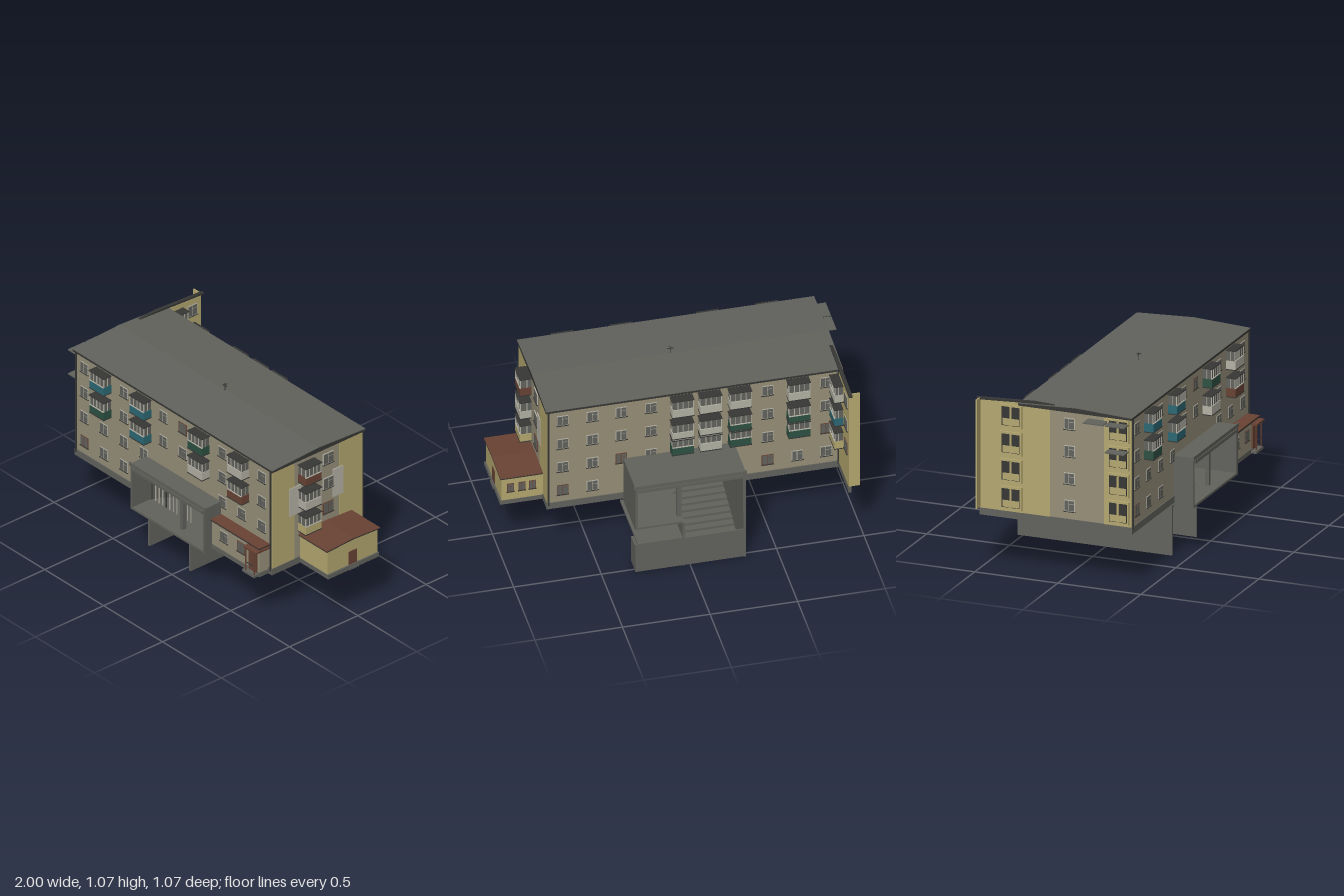
import * as THREE from 'three';

const mat = (name, color, side = THREE.FrontSide) => {
  const m = new THREE.MeshStandardMaterial({ color, side });
  m.name = name;
  return m;
};

export function createModel() {
  const root = new THREE.Group();
  root.name = 'apartmentBlock';
  const M = {
    yellow: mat('yellowPlaster', 0xb5a870),
    khaki: mat('khakiBrick', 0x979079),
    grey: mat('greyConcrete', 0x62625d),
    dark: mat('charcoalTrim', 0x373735),
    light: mat('lightPanel', 0xb5b3a6),
    brown: mat('redBrown', 0x6a4335),
    teal: mat('tealPanel', 0x2c6874),
    green: mat('greenPanel', 0x2d5143),
  };

  const group = (name, parent = root) => {
    const g = new THREE.Group();
    g.name = name;
    parent.add(g);
    return g;
  };
  // Box given by its minimum and maximum corners
  const box = (name, m, x0, x1, y0, y1, z0, z1, parent = root) => {
    const b = new THREE.Mesh(new THREE.BoxGeometry(x1 - x0, y1 - y0, z1 - z0), M[m]);
    b.position.set((x0 + x1) / 2, (y0 + y1) / 2, (z0 + z1) / 2);
    b.name = name;
    parent.add(b);
    return b;
  };
  // Gable slab: ridge along x, given eave and ridge heights
  const gable = (name, m, x0, x1, z0, z1, yEave, yRidge, t, solid = false) => {
    const zm = (z0 + z1) / 2, s = new THREE.Shape();
    s.moveTo(-z0, yEave - t);
    if (!solid) s.lineTo(-zm, yRidge - t);
    s.lineTo(-z1, yEave - t);
    s.lineTo(-z1, yEave);
    s.lineTo(-zm, yRidge);
    s.lineTo(-z0, yEave);
    const g = new THREE.ExtrudeGeometry(s, { depth: x1 - x0, bevelEnabled: false });
    g.rotateY(Math.PI / 2).translate(x0, 0, 0);
    const r = new THREE.Mesh(g, M[m]);
    r.name = name;
    root.add(r);
  };
  // Wall frame: local x runs along the wall, local z points outward
  const wall = (name, x, z, turn) => {
    const g = group(name);
    g.position.set(x, 0, z);
    g.rotation.y = turn;
    return g;
  };

  // Casement window with one wide pane and a split pane
  const windowAt = (w, u, y, trim = 'light', width = 0.066, h = 0.066) => {
    const g = group('window', w), a = u - width / 2, b = u + width / 2, c = y - h / 2, d = y + h / 2;
    const e = 0.004, mid = u - width * 0.04;
    box('windowFrame', trim, a, b, c, d, -0.002, 0.003, g);
    box('windowPane', 'grey', a + e, mid - 0.002, c + e, d - e, 0, 0.005, g);
    box('windowPane', 'grey', mid + 0.002, b - e, c + e, y + h * 0.14, 0, 0.005, g);
    box('windowPane', 'grey', mid + 0.002, b - e, y + h * 0.2, d - e, 0, 0.005, g);
    box('windowSill', 'dark', a - 0.003, b + 0.003, c - 0.003, c, -0.002, 0.008, g);
  };
  // Glazed balcony with coloured parapet
  const balcony = (w, u, y, colour, width = 0.122, d = 0.056) => {
    const g = group('balcony', w), a = u - width / 2, b = u + width / 2;
    box('balconyFloor', 'dark', a - 0.002, b + 0.002, y - 0.058, y - 0.053, 0, d + 0.002, g);
    box('balconyParapet', colour, a, b, y - 0.053, y - 0.004, 0, d, g);
    box('balconyGlass', 'grey', a + 0.003, b - 0.003, y - 0.004, y + 0.053, 0, d - 0.004, g);
    for (let i = 0; i <= 4; i++) {
      const x = a + 0.002 + (i * (width - 0.004)) / 4;
      box('balconyMullion', 'light', x - 0.002, x + 0.002, y - 0.004, y + 0.053, d - 0.006, d, g);
    }
    for (const x of [a + 0.001, b - 0.004])
      box('balconySidePost', 'light', x, x + 0.003, y - 0.004, y + 0.053, 0.024, 0.028, g);
    box('balconyRail', 'light', a, b, y - 0.006, y - 0.002, d - 0.004, d + 0.002, g);
    box('balconyRoof', 'dark', a - 0.003, b + 0.003, y + 0.053, y + 0.058, 0, d + 0.003, g);
  };

  // Main block, left open where the passage runs through
  box('westBlock', 'khaki', -0.918, -0.315, 0.32, 1.0, -0.25, 0.41);
  box('eastBlock', 'khaki', 0.31, 0.745, 0.32, 1.0, -0.25, 0.41);
  box('middleBlock', 'khaki', -0.315, 0.31, 0.585, 1.0, -0.25, 0.41);
  box('westPlinth', 'grey', -0.926, -0.315, 0.315, 0.355, -0.256, 0.416);
  box('eastPlinth', 'grey', 0.31, 0.752, 0.315, 0.355, -0.256, 0.416);
  for (const [z0, z1] of [[-0.251, -0.08], [0.247, 0.411]]) {
    box('eastYellowWall', 'yellow', 0.742, 0.75, 0.355, 1.0, z0, z1);
    box('westYellowWall', 'yellow', -0.924, -0.916, 0.355, 1.0, z0, z1);
  }
  gable('roofEdge', 'dark', -0.938, 0.758, -0.265, 0.42, 0.998, 1.014, 0.012, true);
  gable('roofCover', 'grey', -0.938, 0.758, -0.265, 0.42, 1.001, 1.018, 0.004);
  for (const x of [-0.912, 0.742]) for (const z of [-0.257, 0.417])
    box('downpipe', 'dark', x - 0.004, x + 0.004, 0.34, 0.985, z - 0.004, z + 0.004);

  // Roof aerial
  box('aerialMast', 'dark', -0.037, -0.034, 1.01, 1.065, 0.079, 0.082);
  box('aerialBar', 'dark', -0.037, -0.034, 1.052, 1.055, 0.063, 0.098);
  box('aerialBar', 'dark', -0.055, -0.016, 1.048, 1.051, 0.079, 0.082);

  const rows = [0.915, 0.755, 0.595, 0.435];
  // Front windows and balconies
  const front = wall('frontDetails', 0, 0.41, 0);
  const frontX = [-0.845, -0.68, -0.51, -0.34, -0.175, -0.01, 0.155, 0.325, 0.49, 0.66];
  const frontBalconies = { 1: ['teal', 'green'], 3: ['teal', 'teal'], 6: ['green', 'light'], 8: ['light', 'brown'] };
  frontX.forEach((x, i) => rows.forEach((y, r) => {
    if (r === 3 && i > 2) return;
    if (r === 2 && i > 3 && i < 7) return;
    if (frontBalconies[i] && r < 2) balcony(front, x, y, frontBalconies[i][r]);
    else windowAt(front, x, y, (i * 3 + r * 5) % 7 === 1 ? 'brown' : 'light');
  }));

  // Back windows and balconies (local x is mirrored)
  const back = wall('backDetails', 0, -0.25, Math.PI);
  const backX = [0.66, 0.49, 0.325, 0.155, -0.015, -0.175, -0.345, -0.51, -0.68, -0.845];
  const backBalconies = {
    4: ['light', 'light', 'green'], 5: ['light', 'light', 'light'],
    6: ['light', 'green', 'green'], 8: ['light', 'green', 'green'],
  };
  backX.forEach((x, i) => rows.forEach((y, r) => {
    if (r === 3 && x > -0.4 && x < 0.36) return;
    if (backBalconies[i] && r < 3) balcony(back, -x, r === 2 ? 0.655 : y, backBalconies[i][r]);
    else windowAt(back, -x, y, (i * 5 + r * 3) % 7 === 2 ? 'brown' : 'light');
  }));

  // East end details
  const east = wall('eastDetails', 0.75, 0, Math.PI / 2);
  ['brown', 'light', 'yellow'].forEach((c, r) => {
    balcony(east, -0.165, [0.903, 0.742, 0.583][r], c, 0.115, 0.066);
    windowAt(east, -0.002, rows[r], r === 2 ? 'brown' : 'light', 0.076, 0.07);
  });
  box('wallPanel', 'light', -0.29, -0.2, 0.645, 0.825, -0.002, 0.004, east);
  box('wallPanel', 'light', 0.03, 0.107, 0.645, 0.825, -0.002, 0.004, east);

  // West gable screen wall reaching past the back
  box('screenWall', 'yellow', -0.926, -0.914, 0.32, 0.995, -0.5, -0.24);
  box('screenPlinth', 'grey', -0.928, -0.912, 0.315, 0.355, -0.502, -0.25);
  box('screenFin', 'yellow', -0.977, -0.92, 0.36, 1.0, -0.505, -0.497);
  gable('screenCoping', 'dark', -0.93, -0.91, -0.52, 0.17, 1.0, 1.018, 0.012);
  const screenIn = wall('screenInnerDetails', -0.914, 0, Math.PI / 2);
  ['light', 'teal', 'yellow'].forEach((c, r) => {
    balcony(screenIn, 0.31, [0.903, 0.742, 0.583][r], c, 0.115, 0.05);
    windowAt(screenIn, 0.437, rows[r], r === 2 ? 'brown' : 'light', 0.07, 0.07);
  });
  const west = wall('westDetails', -0.926, 0, -Math.PI / 2);
  for (const y of rows) {
    for (const u of [-0.31, 0.335]) {
      box('bayFrame', 'yellow', u - 0.065, u + 0.065, y - 0.068, y + 0.068, -0.004, 0.01, west);
      box('bayOpening', 'dark', u - 0.054, u + 0.054, y - 0.055, y + 0.055, 0, 0.012, west);
      box('bayPost', 'yellow', u - 0.006, u + 0.006, y - 0.055, y + 0.055, 0, 0.014, west);
      box('bayParapet', 'yellow', u - 0.05, u + 0.05, y - 0.052, y - 0.012, 0, 0.013, west);
    }
    windowAt(west, 0.04, y);
  }
  for (const [z, y] of [[0.34, 0.957], [0.34, 0.8], [0.21, 0.957]])
    box('westCanopy', 'grey', -1, -0.92, y - 0.003, y + 0.003, z - 0.06, z + 0.06);

  // East annex with shallow gable roof
  box('annexWalls', 'yellow', 0.75, 0.985, 0.345, 0.5, -0.157, 0.21);
  box('annexPlinth', 'grey', 0.75, 0.995, 0.32, 0.347, -0.16, 0.213);
  gable('annexGable', 'yellow', 0.75, 0.985, -0.157, 0.21, 0.5, 0.51, 0.005, true);
  gable('annexRoofEdge', 'dark', 0.752, 0.995, -0.168, 0.222, 0.503, 0.513, 0.006);
  gable('annexRoof', 'brown', 0.752, 0.995, -0.168, 0.222, 0.506, 0.516, 0.003);
  box('annexDoor', 'brown', 0.98, 0.989, 0.33, 0.432, -0.002, 0.055);
  box('annexStep', 'grey', 0.98, 1.0, 0.32, 0.333, -0.008, 0.06);
  const annexBack = wall('annexBackDetails', 0, -0.157, Math.PI);
  for (const x of [0.81, 0.87, 0.935]) windowAt(annexBack, -x, 0.43, 'brown', 0.04, 0.055);

  // Front shop with porch
  box('shopWalls', 'khaki', 0.315, 0.72, 0.34, 0.498, 0.4, 0.478);
  box('shopPlinth', 'grey', 0.315, 0.722, 0.315, 0.342, 0.4, 0.482);
  box('shopRoofEdge', 'dark', 0.315, 0.728, 0.496, 0.503, 0.4, 0.488);
  box('shopRoof', 'brown', 0.315, 0.728, 0.503, 0.508, 0.4, 0.488);
  const shop = wall('shopDetails', 0, 0.478, 0);
  for (const x of [0.42, 0.565]) windowAt(shop, x, 0.435, x > 0.5 ? 'brown' : 'light');
  box('shopDoor', 'brown', 0.635, 0.7, 0.335, 0.468, 0.47, 0.486);
  box('porchCanopy', 'brown', 0.625, 0.73, 0.478, 0.49, 0.41, 0.515);
  for (const x of [0.633, 0.702]) box('porchPost', 'brown', x, x + 0.006, 0.33, 0.48, 0.503, 0.509);
  box('porchStep', 'grey', 0.615, 0.715, 0.318, 0.334, 0.478, 0.515);
  box('porchRail', 'dark', 0.633, 0.708, 0.385, 0.389, 0.504, 0.508);

  // Concrete passage running through the building
  box('passageRoof', 'grey', -0.318, 0.313, 0.568, 0.588, -0.53, 0.53);
  for (const x of [-0.318, 0.298]) box('passageSide', 'grey', x, x + 0.015, 0.3, 0.57, -0.53, 0.53);
  for (const z of [-0.535, 0.525]) {
    box('passageLip', 'grey', -0.325, 0.32, 0.576, 0.597, z, z + 0.01);
    box('passageBeam', 'grey', -0.303, 0.298, 0.55, 0.57, z, z + 0.01);
  }
  box('passageFloor', 'grey', 0.04, 0.313, 0.295, 0.308, -0.53, 0.53);
  box('passageLanding', 'grey', -0.318, 0.04, 0.295, 0.308, 0.4, 0.53);
  for (const z of [-0.47, 0, 0.46]) box('passageColumn', 'grey', 0.038, 0.062, 0.3, 0.57, z - 0.012, z + 0.012);
  // Railing screen beside the stairs
  for (let i = 0; i <= 11; i++) {
    const x = -0.298 + i * 0.03;
    box('screenBar', i % 4 ? 'light' : 'dark', x - 0.002, x + 0.002, 0.308, 0.568, 0.385, 0.39);
  }
  box('screenRail', 'dark', -0.303, 0.04, 0.463, 0.472, 0.382, 0.392);
  box('screenSign', 'teal', -0.23, -0.04, 0.478, 0.522, 0.392, 0.4);

  // Stairs down to the underpass between two side walls
  for (const x of [-0.318, 0.03]) box('stairWall', 'grey', x, x + 0.012, 0, 0.3, -0.53, 0.4);
  const n = 20;
  for (let i = 0; i < n; i++) {
    const y = 0.3 - (i * 0.29) / n, z = 0.4 - (i * 0.83) / n;
    box('stairStep', 'grey', -0.308, 0.032, y - 0.02, y, z - 0.044, z);
  }
  box('underpassFloor', 'grey', -0.31, 0.31, 0.003, 0.015, -0.53, -0.43);
  box('underpassBack', 'grey', -0.318, 0.313, 0.005, 0.19, -0.53, -0.522);
  box('underpassFront', 'grey', 0.04, 0.3, 0.01, 0.19, -0.438, -0.43);
  box('underpassEnd', 'grey', 0.295, 0.313, 0.01, 0.18, -0.53, -0.43);
  box('underpassRoof', 'grey', 0.04, 0.298, 0.18, 0.194, -0.53, -0.11);

  return root;
}
